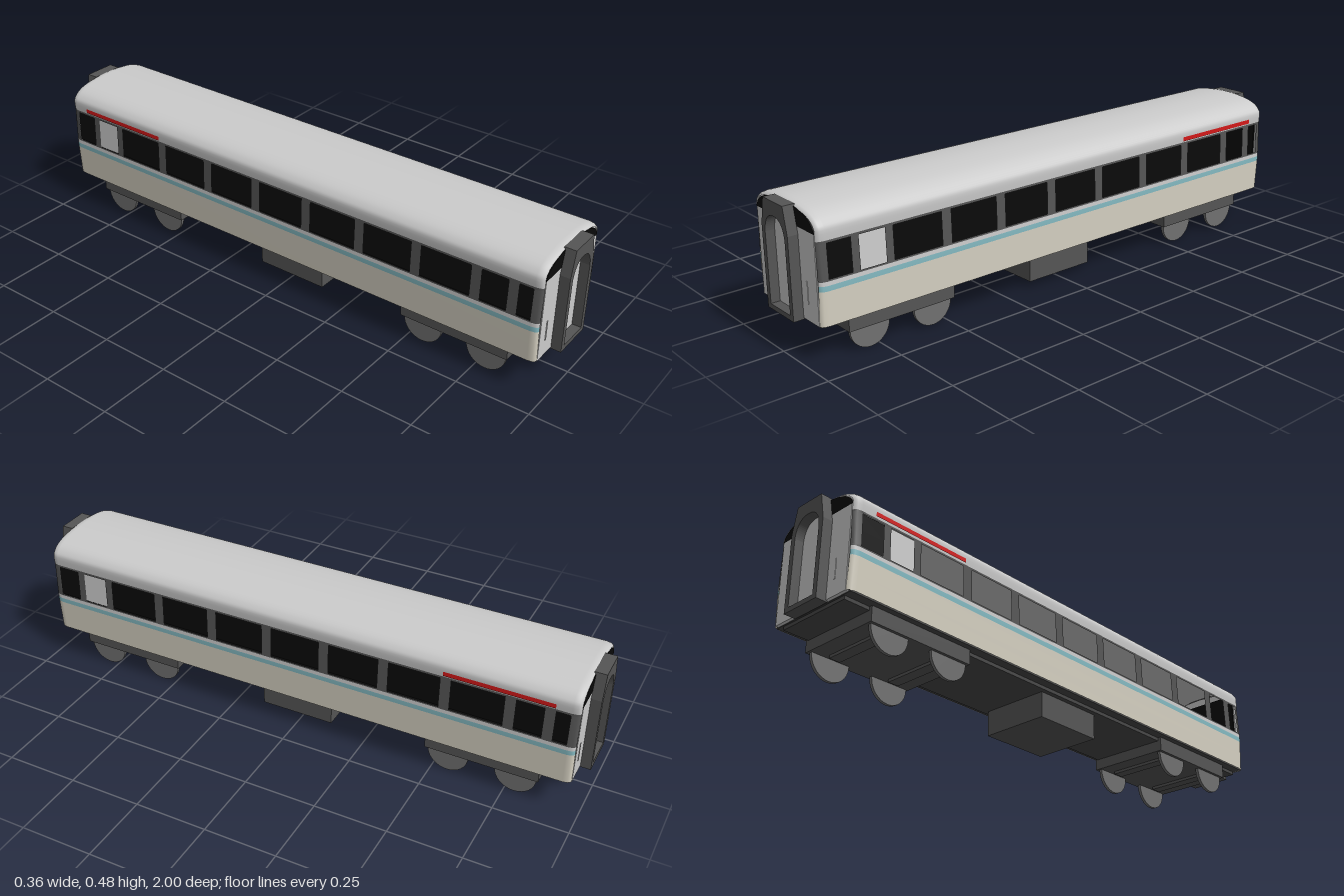
import * as THREE from 'three';

const mat = (color, side = THREE.FrontSide) => new THREE.MeshStandardMaterial({ color, side });
const PALE = 0xcccccc, CREAM = 0xd8d3c4, TEAL = 0x86bcc4, DARK = 0x555555, UNDER = 0x484848, BLACK = 0x0a0a0a, RED = 0xd01818;

// Half-width of the side wall at a height, and the tuck-in at the rounded ends
const wallX = y => y < 0.25
  ? THREE.MathUtils.mapLinear(y, 0.125, 0.25, 0.175, 0.181)
  : THREE.MathUtils.mapLinear(y, 0.25, 0.39, 0.181, 0.176);
const tuck = z => {
  const t = Math.max(0, Math.abs(z) - 0.94) / 0.025;
  return 0.014 * (1 - Math.sqrt(Math.max(0, 1 - t * t)));
};
const stations = [-0.965, -0.962, -0.955, -0.94, 0.94, 0.955, 0.962, 0.965];
const roofHalf = [[0.176, 0.387], [0.1775, 0.42], [0.169, 0.437], [0.15, 0.453], [0.115, 0.466], [0.06, 0.474]];
const roofCurve = new THREE.SplineCurve([
  ...roofHalf, [0, 0.477], ...roofHalf.slice().reverse().map(([x, y]) => [-x, y]),
].map(p => new THREE.Vector2(...p)));

// Surface through rows of equally many points
function loft(rows) {
  const n = rows[0].length, index = [];
  for (let r = 0; r < rows.length - 1; r++) {
    for (let i = 0; i < n - 1; i++) {
      const a = r * n + i, b = a + n;
      index.push(a, b, a + 1, b, b + 1, a + 1);
    }
  }
  const g = new THREE.BufferGeometry();
  g.setAttribute('position', new THREE.Float32BufferAttribute(rows.flat(2), 3));
  g.setIndex(index);
  g.computeVertexNormals();
  return g;
}

export function createModel() {
  const model = new THREE.Group();
  model.name = 'railCarriage';
  const add = (name, geometry, color, side, parent = model) => {
    const m = new THREE.Mesh(geometry, mat(color, side));
    m.name = name;
    parent.add(m);
    return m;
  };
  const box = (name, color, [x0, x1], [y0, y1], [z0, z1], parent) => {
    const m = add(name, new THREE.BoxGeometry(x1 - x0, y1 - y0, z1 - z0), color, undefined, parent);
    m.position.set((x0 + x1) / 2, (y0 + y1) / 2, (z0 + z1) / 2);
    return m;
  };
  // Piece of side wall that follows the body's curve
  const wall = (name, color, s, y0, y1, za = -0.965, zb = 0.965, out = 0) => {
    const z0 = Math.min(za, zb), z1 = Math.max(za, zb);
    const zs = [z0, ...stations.filter(z => z > z0 && z < z1), z1];
    const ys = [y0, (y0 + y1) / 2, y1];
    const rows = zs.map(z => ys.map(y => [s * (wallX(y) - tuck(z) + out), y, z]));
    if (s > 0) rows.reverse();
    add(name, loft(rows), color, THREE.DoubleSide);
  };

  // Sides: the two are the same under a half turn, apart from the red line
  const windows = [[0.936, 0.857], [0.83, 0.74]];
  for (let i = 0; i < 7; i++) windows.push([0.712 - i * 0.2115, 0.537 - i * 0.2115]);
  windows.push([-0.768, -0.857], [-0.892, -0.937]);
  for (const s of [1, -1]) {
    wall('lowerSide', CREAM, s, 0.125, 0.236);
    wall('sideStripe', TEAL, s, 0.236, 0.253);
    wall('waistRail', PALE, s, 0.253, 0.266);
    wall('windowSill', DARK, s, 0.266, 0.272);
    wall('windowHeader', DARK, s, 0.38, 0.392);
    let start = 0.965;
    for (const [a, b] of [...windows, [-0.965, 0]]) {
      wall('windowPillar', DARK, s, 0.272, 0.38, s * start, s * a);
      start = b;
    }
    wall('vestibuleWindow', BLACK, s, 0.27, 0.382, s * 0.94, s * 0.853, -0.004);
    wall('doorPanel', PALE, s, 0.27, 0.382, s * 0.835, s * 0.735, -0.004);
    wall('roofLine', RED, s, 0.393, 0.408, -0.89, -0.53, 0.004);
  }

  // Dark saloon: floor, centre partition and end bulkheads
  box('saloonFloor', BLACK, [-0.168, 0.168], [0.13, 0.136], [-0.95, 0.95]);
  box('centrePartition', BLACK, [-0.003, 0.003], [0.135, 0.4], [-0.95, 0.95]);
  for (const s of [1, -1]) box('endBulkhead', BLACK, [-0.16, 0.16], [0.135, 0.435], [s * 0.947 - 0.003, s * 0.947 + 0.003]);

  // Roof with rounded ends
  const roofPts = roofCurve.getPoints(36);
  add('roof', loft(stations.map(z => roofPts.map(p => [
    p.x * (1 - tuck(z) / 0.178), 0.387 + (p.y - 0.387) * (1 - tuck(z) / 0.12), z,
  ])).reverse()), PALE, THREE.DoubleSide);

  // Ends: wall, dark upper windows, handrails and gangway
  const plate = (shape, depth) => new THREE.ExtrudeGeometry(shape, { depth, bevelEnabled: false, curveSegments: 16 });
  const poly = pts => new THREE.Shape(pts.map(p => new THREE.Vector2(...p)));
  const rim = poly([
    [-0.161, 0.125], [0.161, 0.125], [0.167, 0.25],
    ...roofPts.map(p => [p.x * 0.921, 0.387 + (p.y - 0.387) * 0.883]), [-0.167, 0.25],
  ]);
  const glass = new THREE.Shape();
  glass.moveTo(-0.163, 0.408);
  glass.lineTo(0.163, 0.408);
  glass.bezierCurveTo(0.155, 0.445, 0.1, 0.468, 0, 0.468);
  glass.bezierCurveTo(-0.1, 0.468, -0.155, 0.445, -0.163, 0.408);
  const arch = path => {
    path.moveTo(-0.056, 0.136);
    path.lineTo(0.056, 0.136);
    path.lineTo(0.056, 0.365);
    path.bezierCurveTo(0.052, 0.41, 0.03, 0.427, 0, 0.427);
    path.bezierCurveTo(-0.03, 0.427, -0.052, 0.41, -0.056, 0.365);
    path.lineTo(-0.056, 0.136);
    return path;
  };
  const frame = poly([[-0.074, 0.12], [0.074, 0.12], [0.074, 0.385], [0.056, 0.472], [-0.056, 0.472], [-0.074, 0.385]]);
  frame.holes.push(arch(new THREE.Path()));
  for (const name of ['frontEnd', 'backEnd']) {
    const end = new THREE.Group();
    end.name = name;
    if (name === 'backEnd') end.rotation.y = Math.PI;
    add('endRim', plate(rim, 0.01), PALE, undefined, end).position.z = 0.953;
    box('endWall', PALE, [-0.161, 0.161], [0.125, 0.408], [0.955, 0.966], end);
    add('endWindow', plate(glass, 0.01), BLACK, undefined, end).position.z = 0.956;
    add('gangwayDoor', plate(arch(new THREE.Shape()), 0.01), PALE, undefined, end).position.z = 0.959;
    add('gangwayFrame', plate(frame, 0.04), DARK, undefined, end).position.z = 0.96;
    for (const x of [-0.122, 0.106]) box('handrail', PALE, [x - 0.003, x + 0.003], [0.18, 0.25], [0.964, 0.9675], end);
    model.add(end);
  }

  // Underframe and equipment case
  box('bodyFloor', UNDER, [-0.17, 0.17], [0.123, 0.131], [-0.955, 0.955]);
  box('underframe', UNDER, [-0.138, 0.142], [0.111, 0.125], [-0.95, 0.95]);
  box('equipmentCase', DARK, [-0.121, 0.124], [0.023, 0.115], [-0.12, 0.142]);

  // Bogies with two wheelsets each
  for (const zc of [0.67, -0.667]) {
    const bogie = new THREE.Group();
    bogie.name = 'bogie';
    bogie.position.set(0.001, 0, zc);
    box('bogieFrame', DARK, [-0.151, 0.151], [0.073, 0.125], [-0.193, 0.193], bogie);
    for (const z of [-0.115, 0.115]) {
      box('axleBeam', DARK, [-0.11, 0.11], [0.063, 0.08], [z - 0.02, z + 0.02], bogie);
      for (const s of [1, -1]) {
        const wheel = add('wheel', new THREE.CylinderGeometry(0.07, 0.07, 0.011, 32), 0x707070, undefined, bogie);
        wheel.rotation.z = Math.PI / 2;
        wheel.position.set(s * 0.135, 0.07, z);
      }
    }
    model.add(bogie);
  }
  return model;
}
